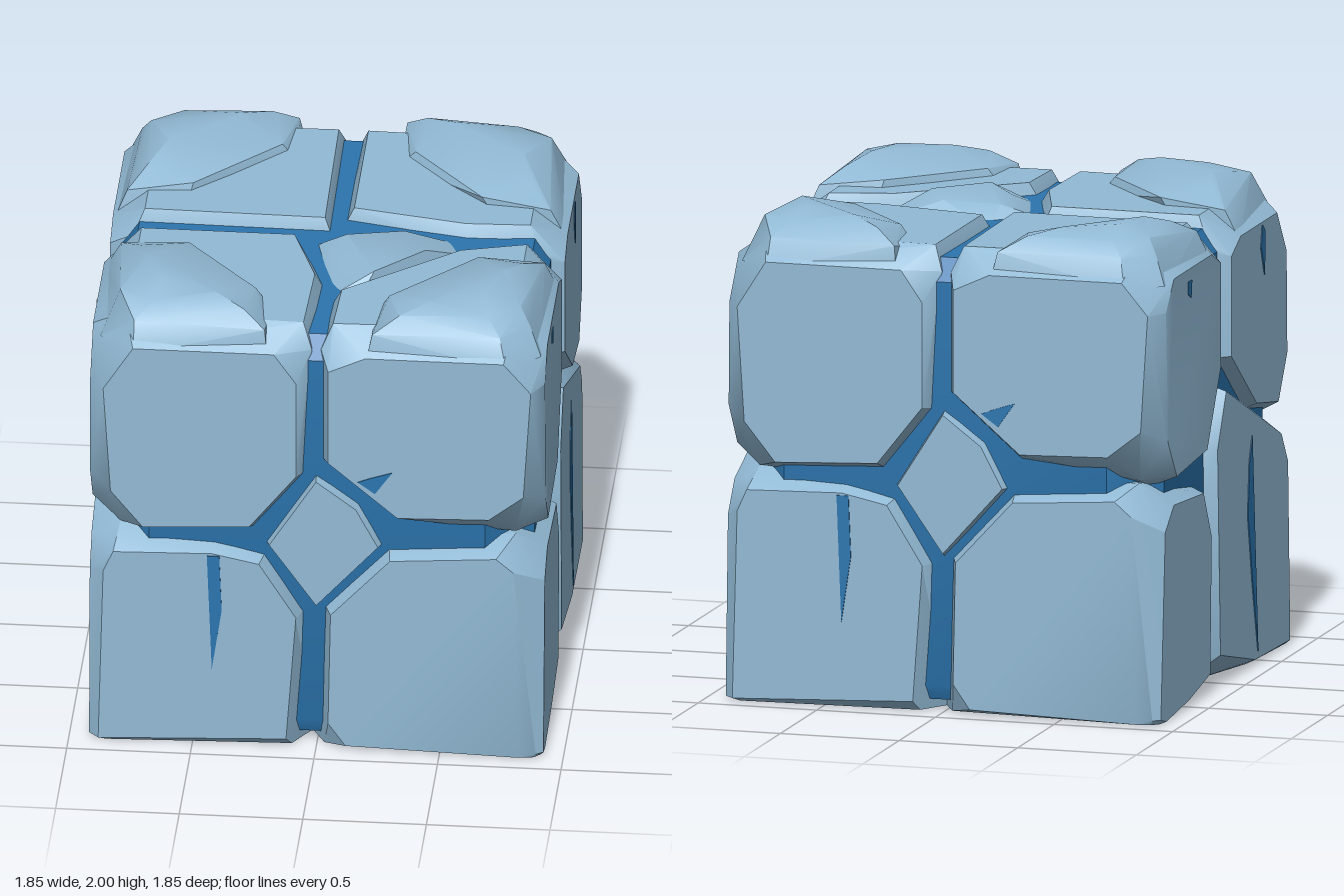
import * as THREE from 'three';
import { ConvexGeometry } from 'three/addons/geometries/ConvexGeometry.js';
import { toCreasedNormals } from 'three/addons/utils/BufferGeometryUtils.js';

const stone = new THREE.MeshStandardMaterial({ color: 0x92bad5 });
stone.name = 'paleBlueStone';
const crack = new THREE.MeshStandardMaterial({ color: 0x2b75af });
crack.name = 'deepBlueCrack';

// Places a 2D point on a plane at distance d along an axis
const place = {
  x: (a, b, d) => new THREE.Vector3(d, b, a), // (z, y)
  y: (a, b, d) => new THREE.Vector3(a, d, b), // (x, z)
  z: (a, b, d) => new THREE.Vector3(a, b, d), // (x, y)
};
const limit = (v) => THREE.MathUtils.clamp(v, -0.92, 0.92);

// A flat face outline plus a wider ring set deeper, which forms the chamfer
function face(axis, d, outline, grow = 0.045, depth = 0.1) {
  const cx = outline.reduce((s, p) => s + p[0], 0) / outline.length;
  const cy = outline.reduce((s, p) => s + p[1], 0) / outline.length;
  const pts = [];
  for (const [a, b] of outline) {
    pts.push(place[axis](a, b, d));
    const k = 1 + grow / Math.hypot(a - cx, b - cy);
    const q = place[axis](cx + (a - cx) * k, cy + (b - cy) * k, d - Math.sign(d) * depth);
    pts.push(q.set(limit(q.x), Math.max(0, q.y), limit(q.z)));
  }
  return pts;
}

const points = (list) => list.map((p) => new THREE.Vector3(...p));

function hull(name, pts, material = stone) {
  const mesh = new THREE.Mesh(toCreasedNormals(new ConvexGeometry(pts), 0.55), material);
  mesh.name = name;
  return mesh;
}

// Thin dark plate lying on a face
function plate(name, axis, d, outline) {
  const inner = d - Math.sign(d) * 0.009;
  return hull(name, outline.flatMap(([a, b]) => [place[axis](a, b, d), place[axis](a, b, inner)]), crack);
}

// Raised, weathered crown on the outer corner of an upper stone
function crown(sx, sz, wobble) {
  const ring = [
    [0.915, 1.78, 0.2], [0.915, 1.78, 0.8], [0.8, 1.78, 0.915], [0.2, 1.78, 0.915],
    [0.23, 1.85, 0.62], [0.48, 1.85, 0.5], [0.62, 1.85, 0.23],
    [0.88, 1.9, 0.24], [0.88, 1.9, 0.74], [0.74, 1.9, 0.88], [0.24, 1.9, 0.88],
    [0.82, 1.96, 0.36], [0.81, 1.96, 0.7], [0.7, 1.96, 0.81], [0.36, 1.96, 0.82],
    [0.27, 1.93, 0.62], [0.51, 1.95, 0.51], [0.63, 1.93, 0.27],
    [0.72, 2, 0.48], [0.68, 2, 0.68], [0.48, 1.99, 0.74],
  ];
  return hull('stoneCrown', points(ring.map(([x, y, z], i) =>
    [sx * (x - (i % 3) * wobble), y, sz * (z - (i % 2) * wobble)])));
}

// One half of the block; the other half is the same turned half round
function half(isFront) {
  const g = new THREE.Group();
  g.name = isFront ? 'frontHalf' : 'backHalf';

  // Inner corners of the stone tops, cut back in front for the loose fragment
  const leftInner = isFront ? [[0.07, 0.52], [0.52, 0.15]] : [[0.05, 0.07]];
  const rightInner = isFront ? [[-0.16, 0.08], [-0.05, 0.4]] : [[-0.52, 0.07], [-0.06, 0.16]];

  // Upper stones
  g.add(hull('upperLeftStone', [
    ...face('z', 0.92, [[0.05, 1.74], [0.05, 1.32], [0.19, 1.23], [0.33, 1.08], [0.7, 1.09],
      [0.84, 1.2], [0.87, 1.68], [0.76, 1.81], [0.2, 1.81]]),
    ...face('x', 0.92, [[0.07, 1.74], [0.07, 1.32], [0.26, 1.01], [0.68, 0.98], [0.8, 1.14],
      [0.83, 1.68], [0.72, 1.8], [0.2, 1.8]]),
    ...face('y', 1.9, [...leftInner, [0.78, 0.08], [0.78, 0.78], [0.06, 0.8]], 0.06),
    ...points([[0.2, 1.1, 0.2], [0.8, 0.98, 0.8]]),
  ]));
  g.add(hull('upperRightStone', [
    ...face('z', 0.92, [[-0.08, 1.68], [-0.08, 1.25], [-0.27, 1.01], [-0.7, 0.99], [-0.83, 1.15],
      [-0.86, 1.62], [-0.74, 1.81], [-0.17, 1.81]]),
    ...face('x', -0.92, [[0.07, 1.74], [0.07, 1.33], [0.34, 1.17], [0.42, 1.07], [0.72, 1.02],
      [0.84, 1.2], [0.83, 1.62], [0.7, 1.8], [0.2, 1.8]]),
    ...face('y', 1.9, [...rightInner, [-0.78, 0.08], [-0.78, 0.78], [-0.06, 0.8]], 0.06),
    ...points([[-0.2, 1.1, 0.2], [-0.8, 0.95, 0.8]]),
  ]));
  g.add(crown(1, 1, 0.015), crown(-1, 1, 0.03));

  // Lower stones
  g.add(hull('lowerLeftStone', [
    ...face('z', 0.92, [[0.05, 0.12], [0.06, 0.62], [0.3, 0.88], [0.73, 0.91], [0.8, 0.85],
      [0.89, 0.02], [0.12, 0.02]]),
    ...face('x', 0.92, [[0.22, 0.08], [0.2, 0.64], [0.31, 0.84], [0.72, 0.87], [0.84, 0.78],
      [0.9, 0.02], [0.5, 0.03]]),
    ...points([[0, 0, 0], [-0.03, 0, 0.75], [0.03, 0, 0.86], [0.88, 0, 0.91], [0.91, 0, 0.88],
      [0.85, 0, 0.25], [0.75, 0, 0.08], [0.1, 0.9, 0.1], [0.8, 0.97, 0.8]]),
  ]));
  g.add(hull('lowerRightStone', [
    ...face('z', 0.92, [[-0.12, 0.04], [-0.08, 0.6], [-0.23, 0.84], [-0.42, 0.88], [-0.82, 0.87],
      [-0.86, 0.78], [-0.88, 0.01]]),
    ...face('x', -0.92, [[-0.08, 0.13], [-0.1, 0.62], [-0.12, 0.98], [0, 1.2], [0.1, 1.13],
      [0.36, 0.98], [0.76, 0.88], [0.85, 0.75], [0.88, 0.01], [0.4, 0.02]]),
    ...points([[0, 0, 0], [-0.02, 0, 0.75], [-0.1, 0, 0.88], [-0.85, 0, 0.91], [-0.91, 0, 0.85],
      [-0.88, 0, 0.4], [-0.75, 0, -0.08], [-0.1, 0.9, 0.1], [-0.8, 0.95, 0.8]]),
  ]));

  // Small wedged stone in the middle of the face
  g.add(hull('diamondStone', [
    ...face('z', 0.9, [[0, 1.22], [-0.19, 0.92], [0, 0.65], [0.25, 0.93], [0.16, 1.1]], 0.035),
    ...points([[0, 0.95, 0.5]]),
  ]));

  // Fissures in the faces
  g.add(plate('faceFissure', 'z', 0.924, [[-0.44, 0.87], [-0.39, 0.87], [-0.38, 0.62], [-0.42, 0.35]]));
  g.add(plate('branchFissure', 'z', 0.924, [[0.17, 1.24], [0.22, 1.26], [0.31, 1.29], [0.24, 1.19]]));
  g.add(plate('sideFissure', 'x', -0.924, [[0.35, 0.95], [0.31, 0.85], [0.29, 0.63], [0.35, 0.35], [0.43, 0.05], [0.37, 0.55]]));
  g.add(plate('upperFissure', 'x', -0.924, [[0.49, 1.79], [0.53, 1.76], [0.52, 1.58], [0.47, 1.7]]));
  g.add(plate('chip', 'x', 0.924, [[0.53, 1.75], [0.48, 1.75], [0.49, 1.68], [0.53, 1.7]]));
  return g;
}

// Octagonal ring of the core at height y
function coreRing(y, s) {
  const pts = [];
  for (const a of [-s, s]) {
    for (const b of [-0.68, 0.68]) pts.push(new THREE.Vector3(a, y, b), new THREE.Vector3(b, y, a));
  }
  return pts;
}

export function createModel() {
  const model = new THREE.Group();
  model.name = 'crackedRockBlock';

  // Dark core seen through the gaps between stones
  model.add(hull('crackCore', [
    ...coreRing(0.04, 0.84), ...coreRing(0.1, 0.865), ...coreRing(1.76, 0.865), ...coreRing(1.85, 0.8),
  ], crack));

  const back = half(false);
  back.rotation.y = Math.PI;
  model.add(half(true), back);

  // Loose fragment sunk in the centre of the top
  model.add(hull('topFragment', points([
    [-0.1, 1.82, 0.05], [0, 1.82, 0.46], [0.14, 1.84, 0.46], [0.52, 1.84, 0.08], [0.48, 1.84, -0.01],
    [0.06, 1.82, -0.07], [-0.04, 1.87, 0.08], [0.05, 1.9, 0.06], [0.06, 1.9, 0.26], [0.19, 1.92, 0.39],
    [0.38, 1.92, 0.2], [0.28, 1.91, 0.03],
  ])));

  // Cracks on the underside
  model.add(plate('undersideCrackBack', 'y', -0.002, [[-0.02, -0.25], [0.02, -0.28], [0.02, -0.7], [-0.02, -0.71]]));
  model.add(plate('undersideCrackSide', 'y', -0.002, [[-0.12, -0.02], [0.1, -0.05], [0.46, 0], [0.1, 0.03]]));
  return model;
}
